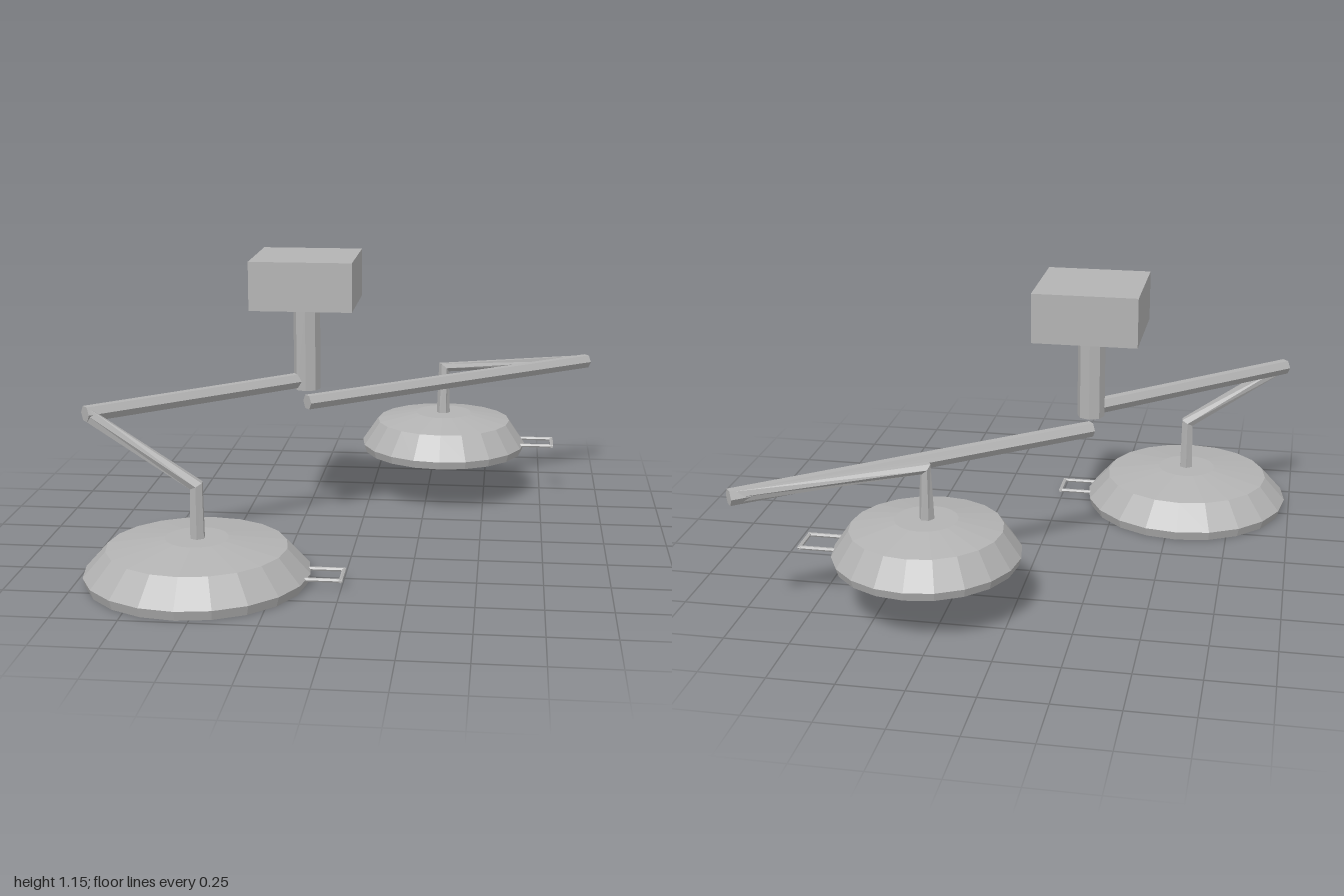
import * as THREE from 'three';

const gray = new THREE.MeshStandardMaterial({ color: 0xb3b3b3, flatShading: true });
gray.name = 'light gray';

const V = (x, y, z) => new THREE.Vector3(x, y, z);

function add(parent, name, geometry, x = 0, y = 0, z = 0) {
  const mesh = new THREE.Mesh(geometry, gray);
  mesh.name = name;
  mesh.position.set(x, y, z);
  parent.add(mesh);
  return mesh;
}

// Hexagonal bar swept along a path with mitred bends; sizes holds [half width, half height] per point
function hexBar(path, sizes) {
  const first = path[1].clone().sub(path[0]);
  const side = V(first.z, 0, -first.x).normalize();
  const rings = path.map((p, i) => {
    const a = path[Math.max(i - 1, 0)], b = path[Math.min(i + 1, path.length - 1)];
    const before = (i ? p.clone().sub(a) : b.clone().sub(p)).normalize();
    const after = (b === p ? p.clone().sub(a) : b.clone().sub(p)).normalize();
    const t = before.clone().add(after).normalize();
    const up = t.clone().cross(side).normalize();
    const mitre = 1 / t.dot(before);
    return Array.from({ length: 6 }, (_, k) => {
      const ang = k * Math.PI / 3;
      return p.clone()
        .addScaledVector(side, Math.cos(ang) * sizes[i][0])
        .addScaledVector(up, Math.sin(ang) * sizes[i][1] * mitre);
    });
  });
  const tris = [];
  for (let i = 0; i < rings.length - 1; i++) {
    for (let k = 0; k < 6; k++) {
      const n = (k + 1) % 6, A = rings[i], B = rings[i + 1];
      tris.push(A[k], A[n], B[n], A[k], B[n], B[k]);
    }
  }
  const start = rings[0], end = rings[rings.length - 1];
  for (let k = 1; k < 5; k++) {
    tris.push(start[0], start[k + 1], start[k], end[0], end[k], end[k + 1]);
  }
  const geometry = new THREE.BufferGeometry().setFromPoints(tris);
  geometry.computeVertexNormals();
  return geometry;
}

// Shallow dish lamp with a U-shaped handle on its left
function lamp(name, x, y, z, profile) {
  const group = new THREE.Group();
  group.name = name;
  group.position.set(x, y, z);
  const points = profile.map(([r, h]) => new THREE.Vector2(r, h));
  add(group, 'lampHead', new THREE.LatheGeometry(points, 20));

  const rim = profile[2][0], reach = 0.135, half = 0.06, rod = 0.008;
  for (const s of [-1, 1]) {
    const g = new THREE.CylinderGeometry(rod, rod, reach + 0.02, 6).rotateZ(Math.PI / 2);
    add(group, 'handleRod', g, rim + reach / 2 - 0.02, 0.037, s * half);
  }
  const grip = new THREE.CylinderGeometry(rod, rod, 2 * half + 0.012, 6).rotateX(Math.PI / 2);
  add(group, 'handleGrip', grip, rim + reach - 0.015, 0.037, 0);
  return group;
}

export function createModel() {
  const model = new THREE.Group();
  model.name = 'ceilingLamp';

  // Ceiling box and column
  add(model, 'ceilingMount', new THREE.BoxGeometry(0.405, 0.193, 0.405), -0.211, 1.052, -0.061);
  add(model, 'column', new THREE.CylinderGeometry(0.054, 0.054, 0.35, 8), -0.211, 0.78, -0.056);

  // Upper swing arms
  const bar = [0.032, 0.032];
  add(model, 'frontArm', hexBar([V(-0.235, 0.642, -0.045), V(-0.953, 0.642, 0.592)], [bar, bar]));
  add(model, 'backArm', hexBar([V(-0.212, 0.547, -0.055), V(0.953, 0.547, -0.967)], [bar, bar]));

  // Lower arms bending down to the lamps
  add(model, 'frontLowerArm', hexBar(
    [V(-0.94, 0.64, 0.598), V(-0.547, 0.372, 0.568), V(-0.547, 0.15, 0.568)],
    [[0.01, 0.028], [0.028, 0.026], [0.03, 0.03]]));
  add(model, 'backLowerArm', hexBar(
    [V(0.94, 0.55, -0.968), V(0.317, 0.575, -0.642), V(0.317, 0.36, -0.637)],
    [[0.012, 0.025], [0.027, 0.02], [0.028, 0.03]]));

  // Lamps
  model.add(lamp('frontLamp', -0.55, 0, 0.565,
    [[0, 0], [0.418, 0], [0.43, 0.038], [0.343, 0.135], [0.12, 0.168], [0, 0.168]]));
  model.add(lamp('backLamp', 0.318, 0.207, -0.642,
    [[0, 0], [0.348, 0], [0.358, 0.033], [0.29, 0.133], [0.12, 0.166], [0, 0.166]]));

  return model;
}
